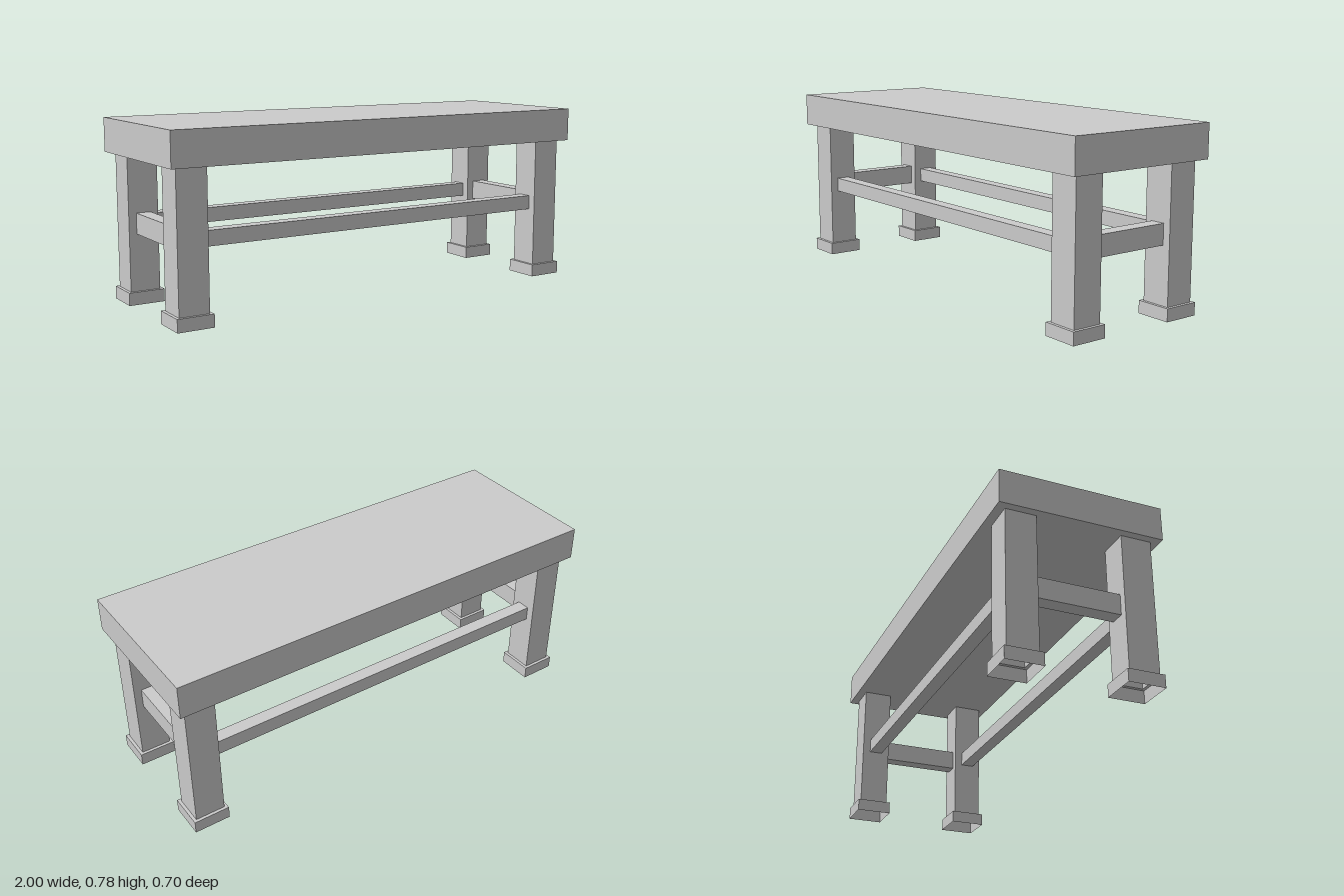
import * as THREE from 'three';

const grey = new THREE.MeshStandardMaterial({ color: 0xcccccc, flatShading: true });
const shell = new THREE.MeshStandardMaterial({ color: 0xcccccc, flatShading: true, side: THREE.DoubleSide });

const LEG_X = 0.901, LEG_Z = 0.247;   // leg centres
const LEG_W = 0.131, FOOT_W = 0.158;  // square widths
const FOOT_H = 0.055, SEAT_Y = 0.637, SEAT_H = 0.147;
const RAIL_Y = 0.346;

function box(name, w, h, d, x, y, z) {
  const mesh = new THREE.Mesh(new THREE.BoxGeometry(w, h, d), grey);
  mesh.name = name;
  mesh.position.set(x, y, z);
  return mesh;
}

// Hollow square post stepping out into a foot that is open underneath
function legGeometry() {
  const profile = [
    [FOOT_W, 0], [FOOT_W, FOOT_H], [LEG_W, FOOT_H], [LEG_W, SEAT_Y],
  ].map(([w, y]) => new THREE.Vector2(w * Math.SQRT1_2, y));
  const geo = new THREE.LatheGeometry(profile, 4, Math.PI / 4).toNonIndexed();
  geo.computeVertexNormals();
  return geo;
}

export function createModel() {
  const bench = new THREE.Group();
  bench.name = 'bench';

  // Thick seat slab
  bench.add(box('seat', 2, SEAT_H, 0.7, 0, SEAT_Y + SEAT_H / 2, 0));

  // Four legs with feet
  const geo = legGeometry();
  for (const sx of [1, -1]) {
    for (const sz of [1, -1]) {
      const leg = new THREE.Mesh(geo, shell);
      leg.name = (sz > 0 ? 'front' : 'back') + (sx > 0 ? 'Left' : 'Right') + 'Leg';
      leg.position.set(sx * LEG_X, 0, sz * LEG_Z);
      bench.add(leg);
    }
  }

  // Stretchers spanning the gaps between the legs
  const spanX = 2 * LEG_X - LEG_W, spanZ = 2 * LEG_Z - LEG_W;
  for (const s of [1, -1]) {
    bench.add(box(s > 0 ? 'frontStretcher' : 'backStretcher', spanX, 0.064, 0.06, 0, RAIL_Y, s * LEG_Z));
    bench.add(box(s > 0 ? 'leftStretcher' : 'rightStretcher', 0.064, 0.089, spanZ, s * LEG_X, RAIL_Y, 0));
  }
  return bench;
}
